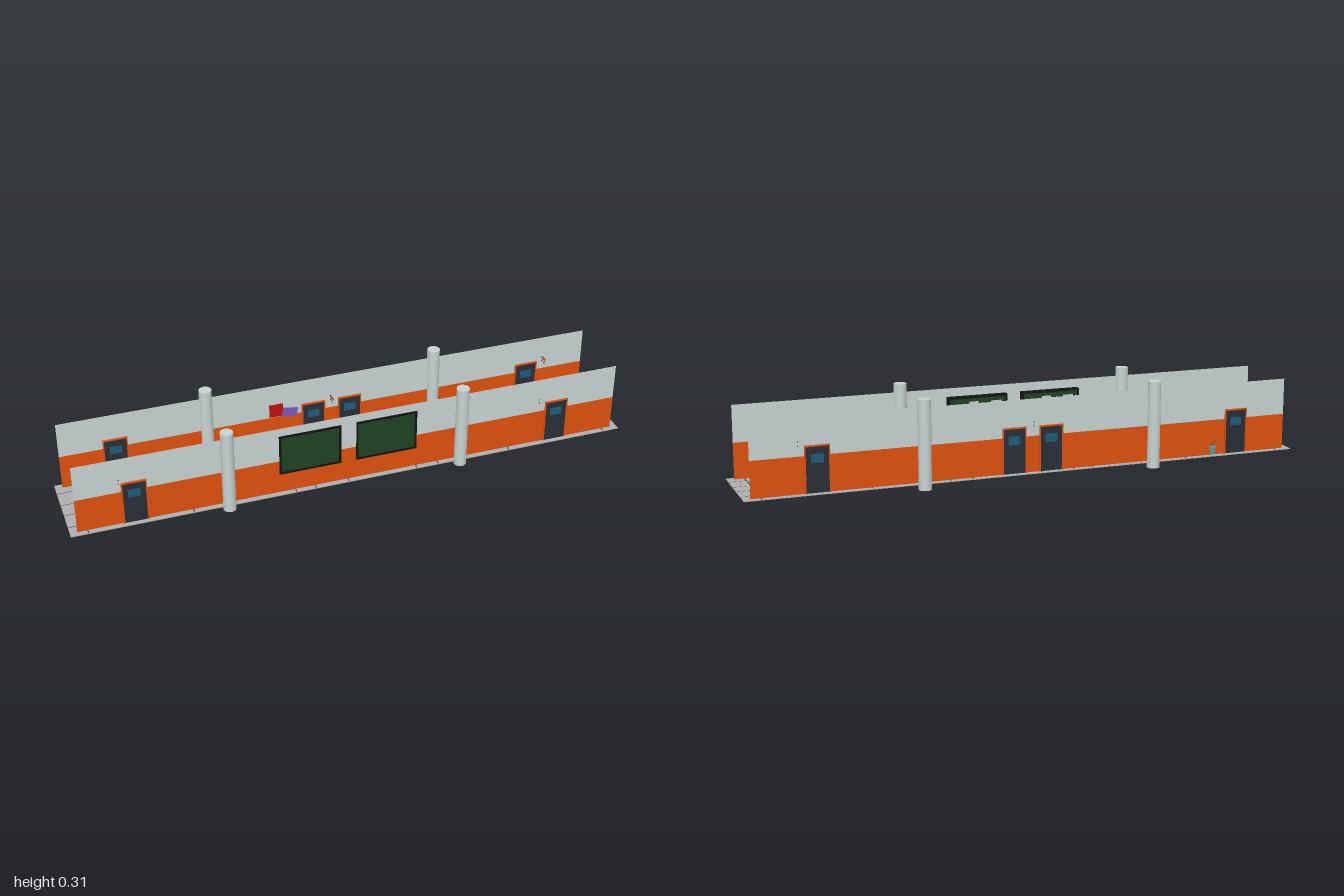
import * as THREE from 'three';

const mat = (color) => new THREE.MeshStandardMaterial({ color, side: THREE.DoubleSide });
const M = {
  orange: mat(0xdd500d), pale: mat(0xc6d2d1), floor: mat(0xb0aeae), line: mat(0x4a4848), under: mat(0x080808),
  door: mat(0x2a2d36), glass: mat(0x1f5a78), board: mat(0x1e4220), black: mat(0x151212), red: mat(0xc01010),
  teal: mat(0x6aa0a4), green: mat(0x1a4a1a), white: mat(0xdadada), yellow: mat(0xb8a020), blue: mat(0x3a70b0), purple: mat(0x7a5ab8),
};

function add(parent, name, geometry, material, x = 0, y = 0, z = 0) {
  const mesh = new THREE.Mesh(geometry, material);
  mesh.name = name;
  mesh.position.set(x, y, z);
  parent.add(mesh);
  return mesh;
}
const box = (p, name, w, h, d, m, x, y, z) => add(p, name, new THREE.BoxGeometry(w, h, d), m, x, y, z);
const cyl = (p, name, r1, r2, h, m, x, y, z, n = 24) => add(p, name, new THREE.CylinderGeometry(r1, r2, h, n), m, x, y, z);
function group(parent, name, x, y, z, yaw = 0) {
  const g = new THREE.Group();
  g.name = name;
  g.position.set(x, y, z);
  g.rotation.y = yaw;
  parent.add(g);
  return g;
}

const FLOOR = 0.022, WALL_Z = 0.133;

// Door: orange frame, dark leaf, window and a knob on the corridor side
function door(root, x, side, knobX) {
  const g = group(root, 'door', x, FLOOR, side * WALL_Z);
  for (const s of [-1, 1]) box(g, 'doorJamb', 0.004, 0.163, 0.012, M.orange, s * 0.041, 0.0815, 0);
  box(g, 'doorLintel', 0.086, 0.005, 0.012, M.orange, 0, 0.1605, 0);
  box(g, 'doorLeaf', 0.078, 0.156, 0.007, M.door, 0, 0.08, 0);
  box(g, 'doorWindow', 0.043, 0.03, 0.009, M.glass, 0, 0.118, 0);
  add(g, 'doorKnob', new THREE.SphereGeometry(0.005, 14, 10), M.black, knobX, 0.072, -side * 0.016);
  const stem = cyl(g, 'knobStem', 0.002, 0.002, 0.014, M.black, knobX, 0.072, -side * 0.009, 10);
  stem.rotation.x = Math.PI / 2;
}

// Room sign standing out from the wall on two rods
function sign(root, x, side) {
  const g = group(root, 'roomSign', x, 0.193, side * 0.11);
  box(g, 'signPlate', 0.003, 0.02, 0.024, M.white, 0, -0.001, 0);
  box(g, 'signHeader', 0.004, 0.004, 0.024, M.orange, 0, 0.01, 0);
  for (const y of [-0.008, 0.006])
    cyl(g, 'signRod', 0.0016, 0.0016, 0.028, M.black, 0, y, side * 0.012, 8).rotation.x = Math.PI / 2;
  for (const s of [-1, 1])
    for (const [y, z] of [[0.003, -0.006], [0.002, 0.005], [-0.005, 0], [-0.007, 0.007]])
      box(g, 'signMark', 0.0006, 0.003, 0.003, M.line, s * 0.0018, y, z);
}

// Bulletin board with pinned papers on the corridor side
function bulletinBoard(root, x) {
  const g = group(root, 'bulletinBoard', x, 0.174, 0.124);
  box(g, 'boardPanel', 0.212, 0.144, 0.022, M.board, 0, 0, 0);
  for (const s of [-1, 1]) {
    box(g, 'boardRail', 0.22, 0.007, 0.028, M.black, 0, s * 0.0725, 0);
    box(g, 'boardStile', 0.007, 0.152, 0.028, M.black, s * 0.1065, 0, 0);
  }
  const papers = [
    [0.074, 0.022, 0.04, 0.05, M.red], [-0.068, 0.028, 0.04, 0.055, M.white], [0.035, -0.034, 0.045, 0.05, M.yellow],
    [-0.03, -0.03, 0.035, 0.045, M.blue], [0.015, 0.036, 0.034, 0.042, M.white], [-0.075, -0.04, 0.035, 0.04, M.yellow],
  ];
  papers.forEach(([px, py, w, h, m], i) => {
    box(g, 'paper', w, h, 0.001, m, px, py, -0.0117).rotation.z = (i % 3 - 1) * 0.08;
  });
}

// Fire extinguisher: foot, bottle, valve, lever and hose
function extinguisher(root, x, z, yaw) {
  const g = group(root, 'extinguisher', x, FLOOR, z, yaw);
  cyl(g, 'foot', 0.016, 0.016, 0.006, M.red, 0, 0.003, 0);
  const pts = [[0, 0], [0.0125, 0], [0.0125, 0.033], [0.010, 0.038], [0.004, 0.041], [0, 0.041]];
  add(g, 'bottle', new THREE.LatheGeometry(pts.map(([a, b]) => new THREE.Vector2(a, b)), 24), M.red);
  cyl(g, 'bottleBand', 0.0128, 0.0128, 0.002, M.orange, 0, 0.018, 0);
  cyl(g, 'valve', 0.003, 0.003, 0.012, M.black, 0, 0.044, 0, 12);
  box(g, 'lever', 0.018, 0.002, 0.004, M.black, 0.006, 0.051, 0);
  box(g, 'carryHandle', 0.016, 0.002, 0.004, M.black, 0.006, 0.045, 0);
  const hose = new THREE.CatmullRomCurve3([[0, 0.046, 0], [-0.01, 0.047, 0], [-0.015, 0.038, 0], [-0.015, 0.016, 0]]
    .map((p) => new THREE.Vector3(...p)));
  add(g, 'hose', new THREE.TubeGeometry(hose, 16, 0.0017, 8), M.black);
}

// Open waste bin with a bent plant and scraps sticking out
function wasteBin(root, x, z, yaw) {
  const g = group(root, 'wasteBin', x, FLOOR, z, yaw);
  const shell = cyl(g, 'binShell', 0.0175, 0.015, 0.038, M.teal, 0, 0.018, 0, 4);
  shell.geometry = new THREE.CylinderGeometry(0.0175, 0.015, 0.038, 4, 1, false).toNonIndexed();
  shell.geometry.computeVertexNormals();
  shell.rotation.y = Math.PI / 4;
  box(g, 'binContents', 0.021, 0.001, 0.021, M.black, 0, 0.0375, 0);
  const stem = new THREE.CatmullRomCurve3([[-0.006, 0.036, 0], [-0.006, 0.062, 0], [-0.003, 0.074, 0], [0.012, 0.072, 0], [0.032, 0.069, 0]]
    .map((p) => new THREE.Vector3(...p)));
  add(g, 'plantStem', new THREE.TubeGeometry(stem, 24, 0.0025, 8), M.green);
  box(g, 'plantLeaf', 0.02, 0.004, 0.016, M.green, 0.032, 0.069, 0);
  for (let i = 0; i < 3; i++)
    box(g, 'scrap', 0.014, 0.002, 0.005, i ? M.black : M.red, 0.002, 0.04 + i * 0.005, (i - 1) * 0.006).rotation.y = i;
}

export function createModel() {
  const root = new THREE.Group();
  root.name = 'schoolCorridor';

  // Floor slab with dark underside and tile joints
  box(root, 'floor', 2, 0.003, 0.304, M.floor, 0, FLOOR, 0);
  box(root, 'floorUnderside', 1.976, 0.0006, 0.28, M.under, 0, FLOOR - 0.0017, 0);
  for (const x of [-0.94, -0.58, -0.22, -0.15, -0.03, 0.22, 0.3, 0.57, 0.94])
    box(root, 'tileJoint', 0.004, 0.0006, 0.3, M.line, x, FLOOR + 0.0015, 0);
  for (const z of [-0.1, -0.03, 0.03, 0.1])
    box(root, 'tileJoint', 2, 0.0006, 0.002, M.line, 0, FLOOR + 0.0015, z);

  // Two-tone walls and round columns on both sides
  for (const side of [-1, 1]) {
    box(root, 'wallLower', 1.95, 0.128, 0.001, M.orange, 0, 0.086, side * WALL_Z);
    box(root, 'wallUpper', 1.95, 0.13, 0.001, M.pale, 0, 0.215, side * WALL_Z);
    for (const x of [-0.455, 0.387]) cyl(root, 'column', 0.0225, 0.0225, 0.31, M.pale, x, 0.155, side * 0.138, 32);
  }

  for (const [x, side, knob] of [[-0.775, 1, 0.03], [0.75, 1, -0.03], [-0.78, -1, 0.03],
    [-0.068, -1, 0.03], [0.067, -1, -0.03], [0.752, -1, -0.03]]) door(root, x, side, knob);
  for (const [x, side] of [[-0.825, 1], [0.685, 1], [0.815, -1], [-0.004, -1]]) sign(root, x, side);

  for (const x of [-0.165, 0.11]) bulletinBoard(root, x);

  // Posters on the back wall
  box(root, 'posterRed', 0.05, 0.05, 0.002, M.red, -0.205, 0.178, -0.131);
  box(root, 'posterPurple', 0.055, 0.035, 0.002, M.purple, -0.155, 0.163, -0.13).rotation.z = -0.15;

  extinguisher(root, 0.44, -0.108, 2.4);
  extinguisher(root, -0.385, 0.107, -0.8);
  wasteBin(root, 0.32, 0.105, 2.25);
  wasteBin(root, -0.69, -0.125, -2.88);
  return root;
}
